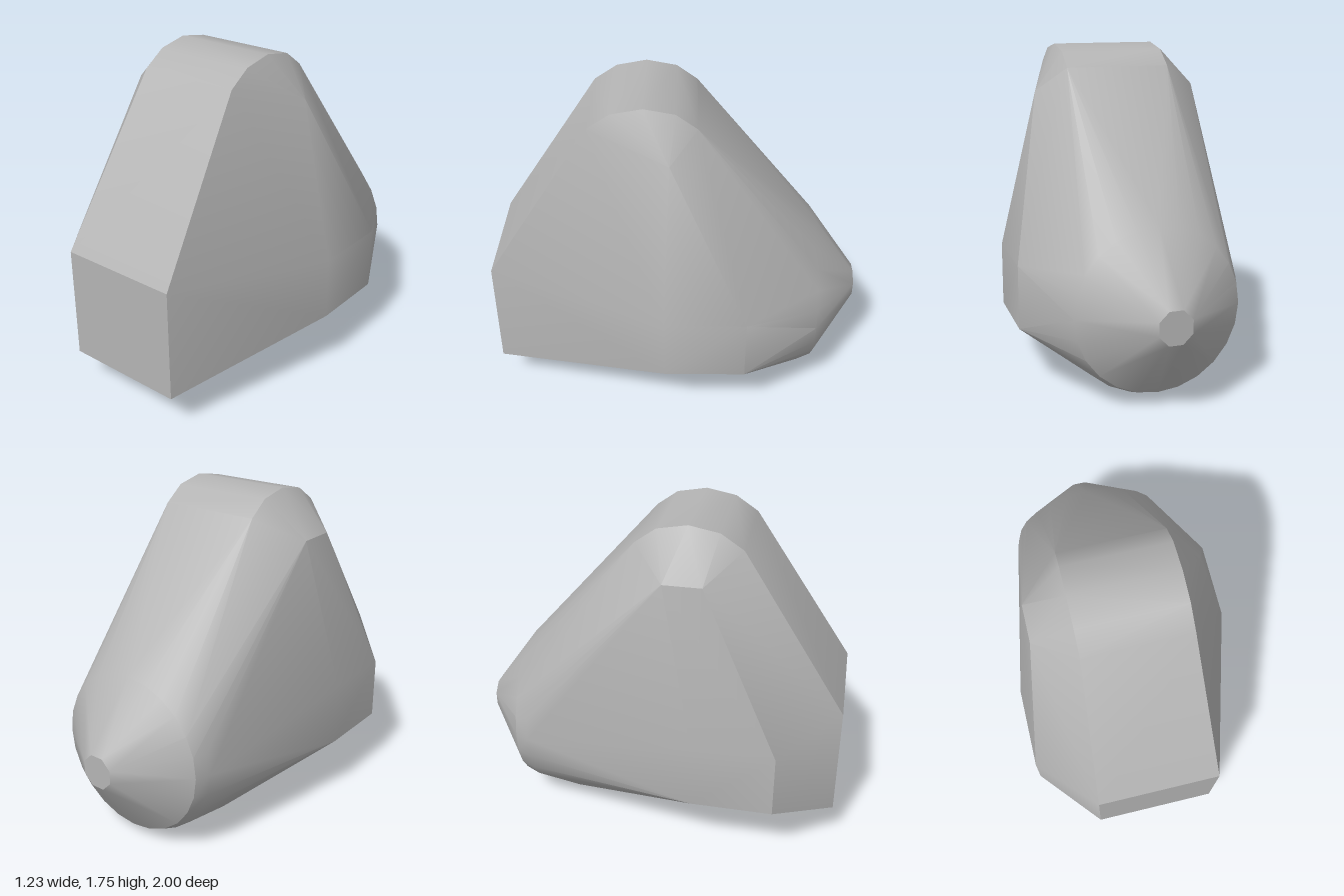
import * as THREE from 'three';
import { ConvexGeometry } from 'three/addons/geometries/ConvexGeometry.js';
import { toCreasedNormals } from 'three/addons/utils/BufferGeometryUtils.js';

const v = (x, y, z) => new THREE.Vector3(x, y, z);

export function createModel() {
  const group = new THREE.Group();
  group.name = 'facetedShell';
  const grey = new THREE.MeshStandardMaterial({ color: 0xb4b4b4 });
  grey.name = 'grey';

  const points = [];

  // Front plate and rounded top ridge, mirrored across x
  const ridge = [[1.64, 0.45], [1.72, 0.33], [1.75, 0.17], [1.72, 0.01], [1.64, -0.1]];
  for (const s of [-1, 1]) {
    points.push(v(s * 0.33, 0.2, 1), v(s * 0.33, 0.8, 1));
    for (const [y, z] of ridge) points.push(v(s * 0.278, y, z));
  }

  // Flat side cheeks, staggered front to back
  for (const y of [0.33, 0.67]) {
    points.push(v(-0.617, y, 0.69), v(-0.617, y, 0.26));
    points.push(v(0.617, y, 0.07), v(0.617, y, -0.36));
  }

  // Upper shoulders
  points.push(v(-0.49, 1.52, 0.28), v(-0.49, 1.52, 0.08), v(0.42, 1.51, 0.04));

  // Round tail: rings of radius r at depth z
  const rings = [[0.495, -0.43, 24], [0.46, -0.68, 24], [0.43, -0.755, 24], [0.093, -1, 8]];
  for (const [r, z, n] of rings) {
    for (let i = 0; i < n; i++) {
      const a = ((i + (n === 8 ? 0.5 : 0)) / n) * Math.PI * 2;
      points.push(v(r * Math.sin(a), 0.497 + r * Math.cos(a), z));
    }
  }

  // Convex skin with sharp edges kept
  const shell = new THREE.Mesh(toCreasedNormals(new ConvexGeometry(points), 0.5), grey);
  shell.name = 'shell';
  group.add(shell);
  return group;
}
